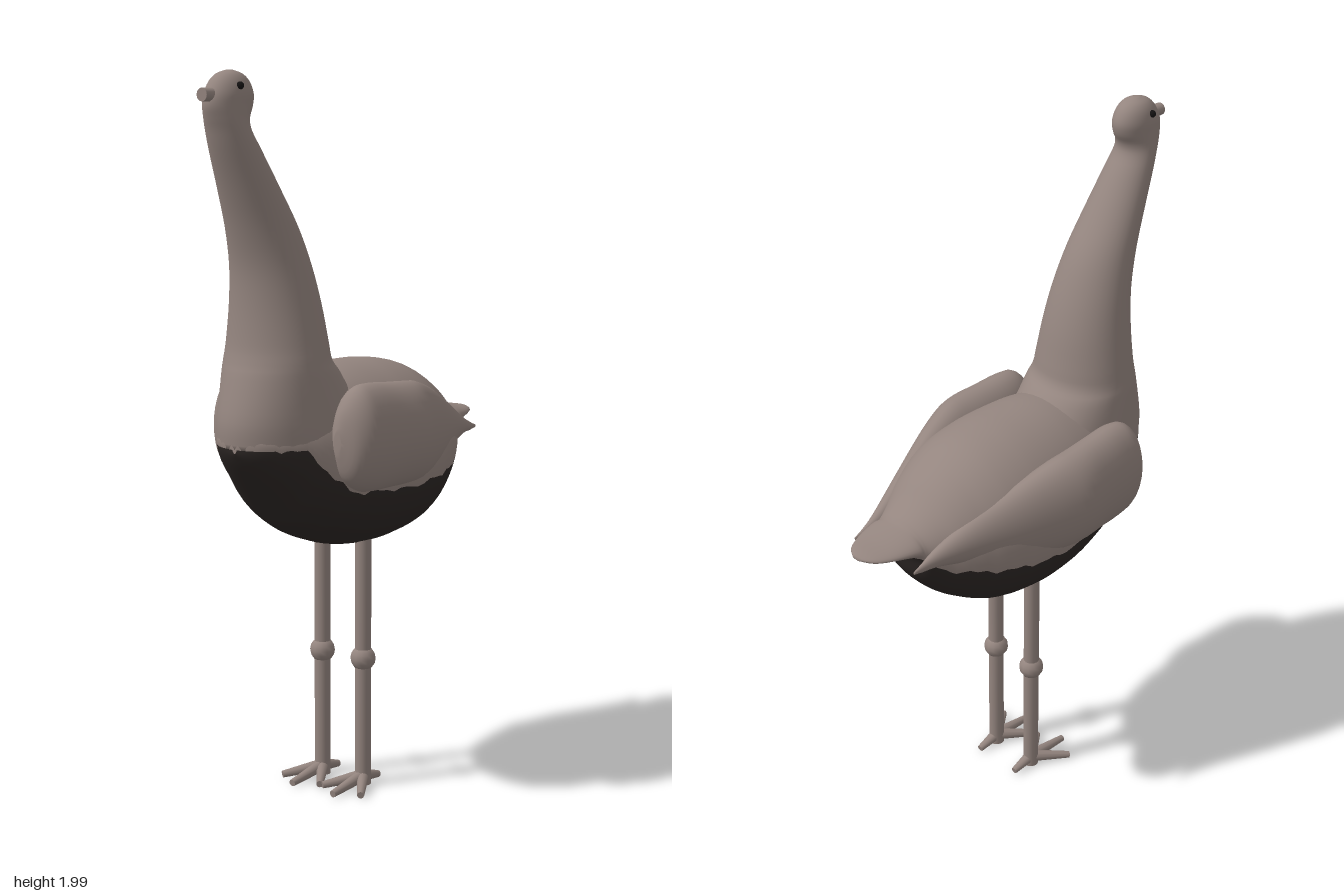
import * as THREE from 'three';

const mat = (name, color) => {
  const m = new THREE.MeshStandardMaterial({ color });
  m.name = name;
  return m;
};

// Catmull-Rom resampling of a table of section values
function resample(rows, steps) {
  const out = [];
  const last = rows.length - 1;
  for (let i = 0; i < last; i++) {
    const p = [i - 1, i, i + 1, i + 2].map(k => rows[Math.min(Math.max(k, 0), last)]);
    for (let s = 0; s < steps; s++) {
      const t = s / steps;
      out.push(p[1].map((b, k) => {
        const a = p[0][k], c = p[2][k], d = p[3][k];
        return b + 0.5 * t * (c - a + t * (2 * a - 5 * b + 4 * c - d + t * (3 * (b - c) + d - a)));
      }));
    }
  }
  out.push(rows[last]);
  return out;
}

// Smooth skin over closed rings; isDark(ring, column) picks the second material
function loft(rings, isDark = () => false) {
  const n = rings[0].length, pos = [], light = [], dark = [];
  rings.forEach(r => r.forEach(p => pos.push(...p)));
  for (let i = 0; i < rings.length - 1; i++) {
    for (let j = 0; j < n; j++) {
      const a = i * n + j, b = i * n + (j + 1) % n, c = a + n, d = b + n;
      (isDark(i, j) ? dark : light).push(a, c, b, b, c, d);
    }
  }
  const e = (rings.length - 1) * n;
  for (let j = 1; j < n - 1; j++) light.push(0, j, j + 1, e, e + j + 1, e + j);
  const g = new THREE.BufferGeometry();
  g.setAttribute('position', new THREE.Float32BufferAttribute(pos, 3));
  g.setIndex([...light, ...dark]);
  g.addGroup(0, light.length, 0);
  g.addGroup(light.length, dark.length, 1);
  g.computeVertexNormals();
  return g;
}

// Tapered rod between two points
function rod(from, to, r0, r1, sides = 10) {
  const a = new THREE.Vector3(...from), b = new THREE.Vector3(...to);
  const dir = b.clone().sub(a);
  const g = new THREE.CylinderGeometry(r1, r0, dir.length(), sides);
  g.applyQuaternion(new THREE.Quaternion().setFromUnitVectors(new THREE.Vector3(0, 1, 0), dir.normalize()));
  return g.translate((a.x + b.x) / 2, (a.y + b.y) / 2, (a.z + b.z) / 2);
}

export function createModel() {
  const plumage = mat('greyBrown', 0x94857f);
  const belly = mat('darkBelly', 0x2c2624);
  const eyeMat = mat('eyeBlack', 0x141212);
  const root = new THREE.Group();
  const add = (parent, name, geometry, material) => {
    const m = new THREE.Mesh(geometry, material);
    m.name = name;
    parent.add(m);
    return m;
  };

  // Body and tail: z, half width, widest height, top, bottom, colour line
  const bodyRows = resample([
    [0.468, 0.01, 1.05, 1.07, 1.02, 1.03],
    [0.46, 0.045, 1.04, 1.08, 1.005, 1.03],
    [0.44, 0.083, 1.04, 1.09, 0.975, 1.03],
    [0.4, 0.12, 1.03, 1.12, 0.925, 1.03],
    [0.35, 0.15, 1.02, 1.14, 0.865, 1.02],
    [0.3, 0.175, 0.99, 1.17, 0.81, 0.97],
    [0.25, 0.193, 0.97, 1.19, 0.775, 0.925],
    [0.2, 0.21, 0.96, 1.205, 0.75, 0.9],
    [0.1, 0.232, 0.955, 1.222, 0.717, 0.895],
    [0, 0.243, 0.95, 1.225, 0.705, 0.89],
    [-0.1, 0.243, 0.95, 1.22, 0.71, 0.9],
    [-0.2, 0.222, 0.96, 1.2, 0.728, 0.91],
    [-0.3, 0.175, 0.97, 1.15, 0.785, 0.925],
    [-0.36, 0.135, 0.98, 1.1, 0.84, 0.94],
    [-0.4, 0.11, 0.99, 1.072, 0.895, 0.965],
    [-0.42, 0.1, 1.0, 1.062, 0.96, 0.985],
    [-0.44, 0.095, 1.015, 1.055, 0.985, 0.995],
    [-0.5, 0.077, 1.02, 1.042, 1.005, 1.01],
    [-0.55, 0.05, 1.022, 1.035, 1.012, 1.015],
    [-0.575, 0.015, 1.025, 1.03, 1.02, 1.022],
  ], 4);
  const LOW = 10, HIGH = 14, HALF = LOW + HIGH;
  const bodyRings = bodyRows.map(([z, w, c, top, bot, line]) => {
    const edge = line + (z < 0.42 && z > -0.42 ? 0.005 * Math.sin(z * 57) + 0.004 * Math.sin(z * 131) : 0);
    const s = edge < c ? (edge - c) / (c - bot) : (edge - c) / (top - c);
    const split = Math.asin(THREE.MathUtils.clamp(s, -0.95, 0.95));
    const point = (k, side) => {
      const a = k <= LOW
        ? THREE.MathUtils.lerp(-Math.PI / 2, split, k / LOW)
        : THREE.MathUtils.lerp(split, Math.PI / 2, (k - LOW) / HIGH);
      const h = Math.sin(a);
      return [side * w * Math.cos(a), c + h * (h < 0 ? c - bot : top - c), z];
    };
    const ring = [];
    for (let k = 0; k < HALF; k++) ring.push(point(k, 1));
    for (let k = HALF; k > 0; k--) ring.push(point(k, -1));
    return ring;
  });
  const bodyGeo = loft(bodyRings, (i, j) =>
    bodyRows[i][0] > -0.425 && (j < LOW || j >= 2 * HALF - LOW));
  add(root, 'body', bodyGeo, [plumage, belly]);

  // Neck and head: height, back z, front z, half width
  const neckRows = resample([
    [2.0, 0.465, 0.482, 0.008],
    [1.99, 0.435, 0.513, 0.03],
    [1.97, 0.414, 0.535, 0.045],
    [1.94, 0.402, 0.552, 0.053],
    [1.91, 0.407, 0.556, 0.054],
    [1.88, 0.423, 0.548, 0.056],
    [1.85, 0.421, 0.537, 0.06],
    [1.8, 0.388, 0.52, 0.068],
    [1.7, 0.322, 0.481, 0.083],
    [1.6, 0.258, 0.446, 0.097],
    [1.5, 0.215, 0.421, 0.112],
    [1.4, 0.185, 0.415, 0.127],
    [1.3, 0.165, 0.42, 0.142],
    [1.25, 0.152, 0.43, 0.149],
    [1.21, 0.11, 0.443, 0.155],
    [1.1, 0.02, 0.47, 0.165],
    [1.03, 0, 0.468, 0.168],
  ], 4);
  const SIDES = 36;
  add(root, 'neckAndHead', loft(neckRows.map(([y, back, front, w]) =>
    Array.from({ length: SIDES }, (_, j) => {
      const a = j / SIDES * Math.PI * 2;
      return [w * Math.cos(a), y, (back + front) / 2 - (front - back) / 2 * Math.sin(a)];
    }))), plumage);

  add(root, 'beak', rod([0, 1.937, 0.53], [0, 1.937, 0.578], 0.018, 0.017, 16), plumage);

  // Wing: z, inner x, outer x, top, bottom
  const wingRows = resample([
    [0.28, 0.18, 0.205, 1.07, 1.01],
    [0.265, 0.16, 0.25, 1.13, 0.95],
    [0.23, 0.14, 0.278, 1.18, 0.915],
    [0.18, 0.13, 0.286, 1.192, 0.9],
    [0.1, 0.13, 0.293, 1.187, 0.9],
    [0.02, 0.13, 0.3, 1.182, 0.9],
    [-0.04, 0.13, 0.286, 1.175, 0.9],
    [-0.12, 0.125, 0.256, 1.15, 0.91],
    [-0.2, 0.115, 0.223, 1.118, 0.925],
    [-0.3, 0.1, 0.18, 1.075, 0.95],
    [-0.4, 0.1, 0.139, 1.025, 0.972],
    [-0.45, 0.108, 0.124, 1.002, 0.977],
    [-0.48, 0.113, 0.118, 0.99, 0.982],
  ], 4);

  for (const [label, s] of [['left', 1], ['right', -1]]) {
    add(root, label + 'Wing', loft(wingRows.map(([z, xi, xo, top, bot]) =>
      Array.from({ length: 28 }, (_, j) => {
        const a = j / 28 * Math.PI * 2;
        return [s * (xi + xo) / 2 + (xo - xi) / 2 * Math.cos(a), (top + bot) / 2 + (top - bot) / 2 * Math.sin(a), z];
      }))), plumage);

    add(root, label + 'Eye', new THREE.SphereGeometry(0.01, 12, 8), eyeMat).position.set(s * 0.048, 1.96, 0.488);

    // Leg with knee and four toes
    const leg = new THREE.Group();
    leg.name = label + 'Leg';
    leg.position.set(s * 0.073, 0, 0.01);
    root.add(leg);
    add(leg, 'shin', rod([0, 0.01, 0], [0, 0.38, 0], 0.023, 0.023, 12), plumage);
    add(leg, 'thigh', rod([0, 0.38, 0], [0, 0.76, 0], 0.023, 0.023, 12), plumage);
    add(leg, 'knee', new THREE.SphereGeometry(0.036, 12, 8), plumage).position.y = 0.38;
    for (const [x, z] of [[0, 0.14], [-0.068, 0.1], [0.068, 0.1], [0, -0.072]]) {
      add(leg, 'toe', rod([0, 0.034, 0], [x, 0.018, z], 0.018, 0.01), plumage);
    }
  }
  return root;
}
